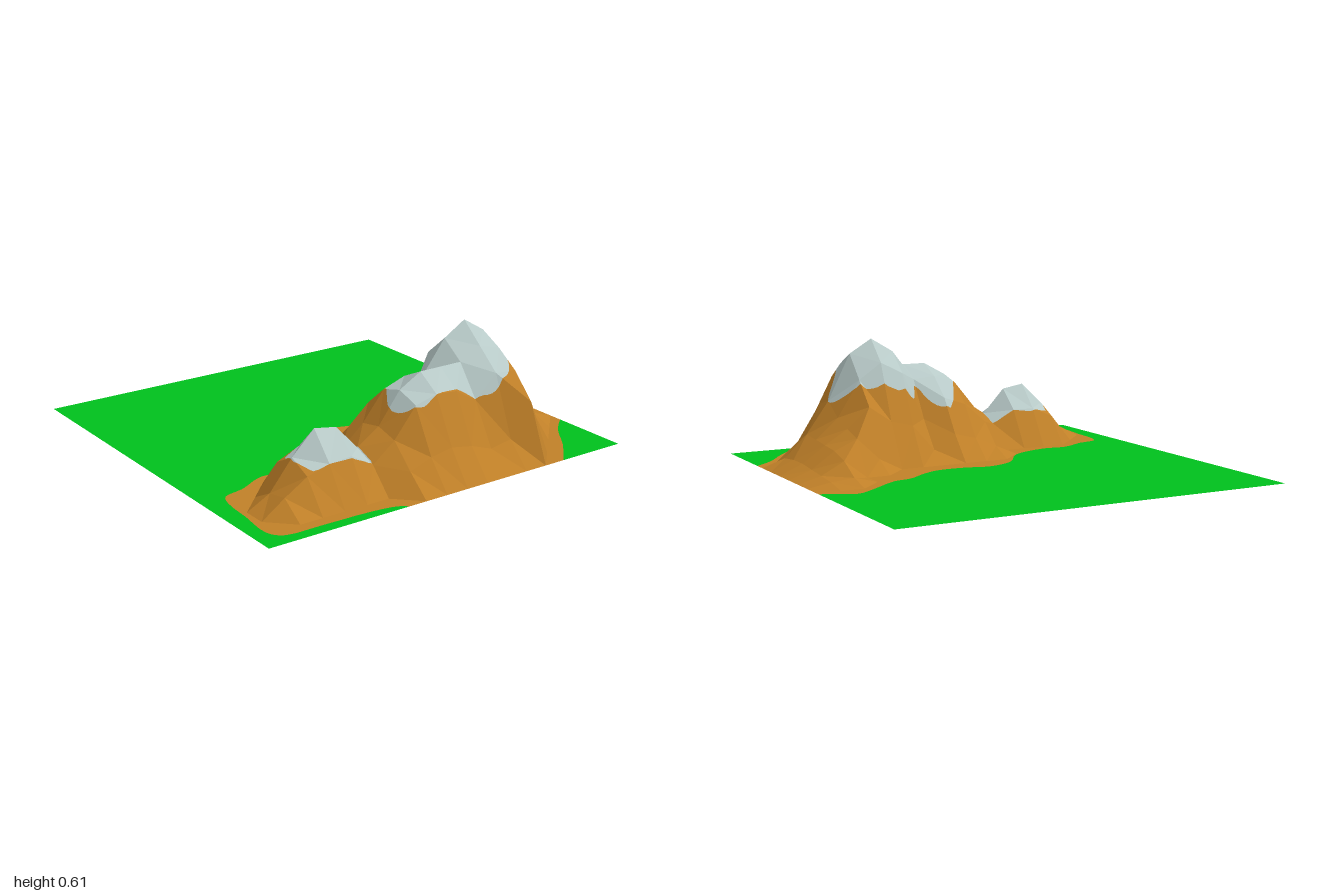
import * as THREE from 'three';

const CELLS = 17, STEP = 2 / CELLS, FINE = 6;

// Mountain heights: row -> [first column, heights...]; all other grid points lie flat
const ROWS = {
  1: [8, 0.02, 0.03, 0.04, 0.05, 0.05, 0.04],
  2: [8, 0.03, 0.09, 0.12, 0.13, 0.14, 0.15, 0.10],
  3: [10, 0.17, 0.20, 0.24, 0.31, 0.28, 0.18],
  4: [10, 0.06, 0.30, 0.42, 0.54, 0.48, 0.40, 0.28],
  5: [11, 0.22, 0.50, 0.61, 0.51, 0.41, 0.12],
  6: [11, 0.19, 0.44, 0.54, 0.455, 0.30, 0.10],
  7: [11, 0.06, 0.20, 0.39, 0.455, 0.37, 0.14],
  8: [11, 0.13, 0.30, 0.40, 0.455, 0.38, 0.16],
  9: [11, 0.10, 0.26, 0.36, 0.39, 0.35, 0.14],
  10: [11, 0.05, 0.16, 0.22, 0.24, 0.21, 0.10],
  11: [13, 0.12, 0.165, 0.12],
  12: [13, 0.19, 0.29, 0.19],
  13: [13, 0.19, 0.31, 0.18],
  14: [13, 0.14, 0.20, 0.15],
  15: [14, 0.06, 0.08],
};

// Outlines in plan as [x, z]
const ROCK = [[-0.17, -1.06], [-0.21, -0.95], [-0.27, -0.84], [-0.21, -0.74], [-0.08, -0.57], [-0.06, -0.48],
  [0.02, -0.37], [0.07, -0.27], [0.07, -0.12], [0.04, 0], [0.1, 0.15], [0.28, 0.29], [0.36, 0.5], [0.35, 0.62],
  [0.42, 0.76], [0.45, 0.87], [0.54, 0.9], [0.68, 0.91], [0.87, 0.925], [0.93, 0.88], [0.94, 0.7], [0.95, 0.42],
  [0.98, 0.29], [1.08, 0.2], [1.1, -0.55], [1, -0.64], [0.85, -0.78], [0.7, -0.89], [0.6, -1], [0.55, -1.08]];
const HIGH_SNOW = [[0.53, -0.65], [0.64, -0.56], [0.76, -0.5], [0.79, -0.4], [0.76, -0.29], [0.76, -0.1], [0.77, 0.06],
  [0.66, 0.12], [0.55, 0.06], [0.38, -0.04], [0.44, -0.13], [0.51, -0.18], [0.41, -0.23], [0.37, -0.33],
  [0.39, -0.52], [0.45, -0.6]];
const LOW_SNOW = [[0.54, 0.29], [0.76, 0.29], [0.77, 0.4], [0.76, 0.61], [0.66, 0.655], [0.56, 0.63], [0.52, 0.52]];

function smoothOutline(points) {
  const curve = new THREE.CatmullRomCurve3(points.map(([x, z]) => new THREE.Vector3(x, 0, z)), true);
  return curve.getPoints(points.length * 3).map((p) => [p.x, p.z]);
}

// Distance to an outline: positive inside, negative outside
function signedDistance(outline, x, z) {
  let best = Infinity, inside = false;
  for (let i = 0, j = outline.length - 1; i < outline.length; j = i++) {
    const [ax, az] = outline[i], [bx, bz] = outline[j];
    const dx = bx - ax, dz = bz - az;
    const t = THREE.MathUtils.clamp(((x - ax) * dx + (z - az) * dz) / (dx * dx + dz * dz || 1), 0, 1);
    best = Math.min(best, Math.hypot(x - ax - t * dx, z - az - t * dz));
    if ((az > z) !== (bz > z) && x < ax + ((z - az) * dx) / dz) inside = !inside;
  }
  return inside ? best : -best;
}

// Cut a convex polygon along the zero line of a field
function split(polygon, field) {
  const inside = [], outside = [];
  const values = polygon.map(field);
  polygon.forEach((p, i) => {
    const n = (i + 1) % polygon.length, a = values[i], b = values[n];
    (a >= 0 ? inside : outside).push(p);
    if ((a >= 0) !== (b >= 0)) {
      const cut = p.clone().lerp(polygon[n], a / (a - b));
      inside.push(cut);
      outside.push(cut);
    }
  });
  return [inside, outside];
}

function pushFan(list, polygon) {
  for (let i = 1; i + 1 < polygon.length; i++) {
    for (const p of [polygon[0], polygon[i], polygon[i + 1]]) list.push(p.x, p.y, p.z);
  }
}

export function createModel() {
  const group = new THREE.Group();
  group.name = 'mountainTerrain';
  const rock = smoothOutline(ROCK);
  const snowCaps = [smoothOutline(HIGH_SNOW), LOW_SNOW];
  const rockField = (p) => signedDistance(rock, p.x, p.z);
  const snowField = (p) => Math.max(...snowCaps.map((cap) => signedDistance(cap, p.x, p.z)));
  const faces = { grass: [], rock: [], snow: [] };

  const corner = (c, r) => {
    const row = ROWS[r];
    const h = (row && c >= row[0] && row[c - row[0] + 1]) || 0;
    return new THREE.Vector3(-1 + c * STEP, h, -1 + r * STEP);
  };

  function addPiece(polygon) {
    const [stone, grass] = split(polygon, rockField);
    pushFan(faces.grass, grass);
    if (stone.length < 3) return;
    const [snow, bare] = split(stone, snowField);
    pushFan(faces.snow, snow);
    pushFan(faces.rock, bare);
  }

  // Divide each facet finely so the colour borders follow their outlines
  function addFacet(a, b, c) {
    const ab = b.clone().sub(a), ac = c.clone().sub(a);
    const at = (i, j) => a.clone().addScaledVector(ab, i / FINE).addScaledVector(ac, j / FINE);
    for (let i = 0; i < FINE; i++) {
      for (let j = 0; i + j < FINE; j++) {
        addPiece([at(i, j), at(i + 1, j), at(i, j + 1)]);
        if (i + j < FINE - 1) addPiece([at(i + 1, j), at(i + 1, j + 1), at(i, j + 1)]);
      }
    }
  }

  // Each cell is folded along its shorter diagonal
  for (let r = 0; r < CELLS; r++) {
    for (let c = 0; c < CELLS; c++) {
      const a = corner(c, r), b = corner(c, r + 1), d = corner(c + 1, r + 1), e = corner(c + 1, r);
      if (Math.abs(a.y - d.y) <= Math.abs(b.y - e.y)) {
        addFacet(a, b, d);
        addFacet(a, d, e);
      } else {
        addFacet(a, b, e);
        addFacet(b, d, e);
      }
    }
  }

  // One faceted sheet per colour
  const colors = { grass: 0x00c01c, rock: 0xc08028, snow: 0xb8cac8 };
  const names = { grass: 'grassPlain', rock: 'mountainSlopes', snow: 'snowCaps' };
  for (const key of Object.keys(faces)) {
    const geometry = new THREE.BufferGeometry();
    geometry.setAttribute('position', new THREE.Float32BufferAttribute(faces[key], 3));
    geometry.computeVertexNormals();
    const material = new THREE.MeshStandardMaterial({ color: colors[key], side: THREE.DoubleSide });
    material.name = key;
    const mesh = new THREE.Mesh(geometry, material);
    mesh.name = names[key];
    group.add(mesh);
  }
  return group;
}
